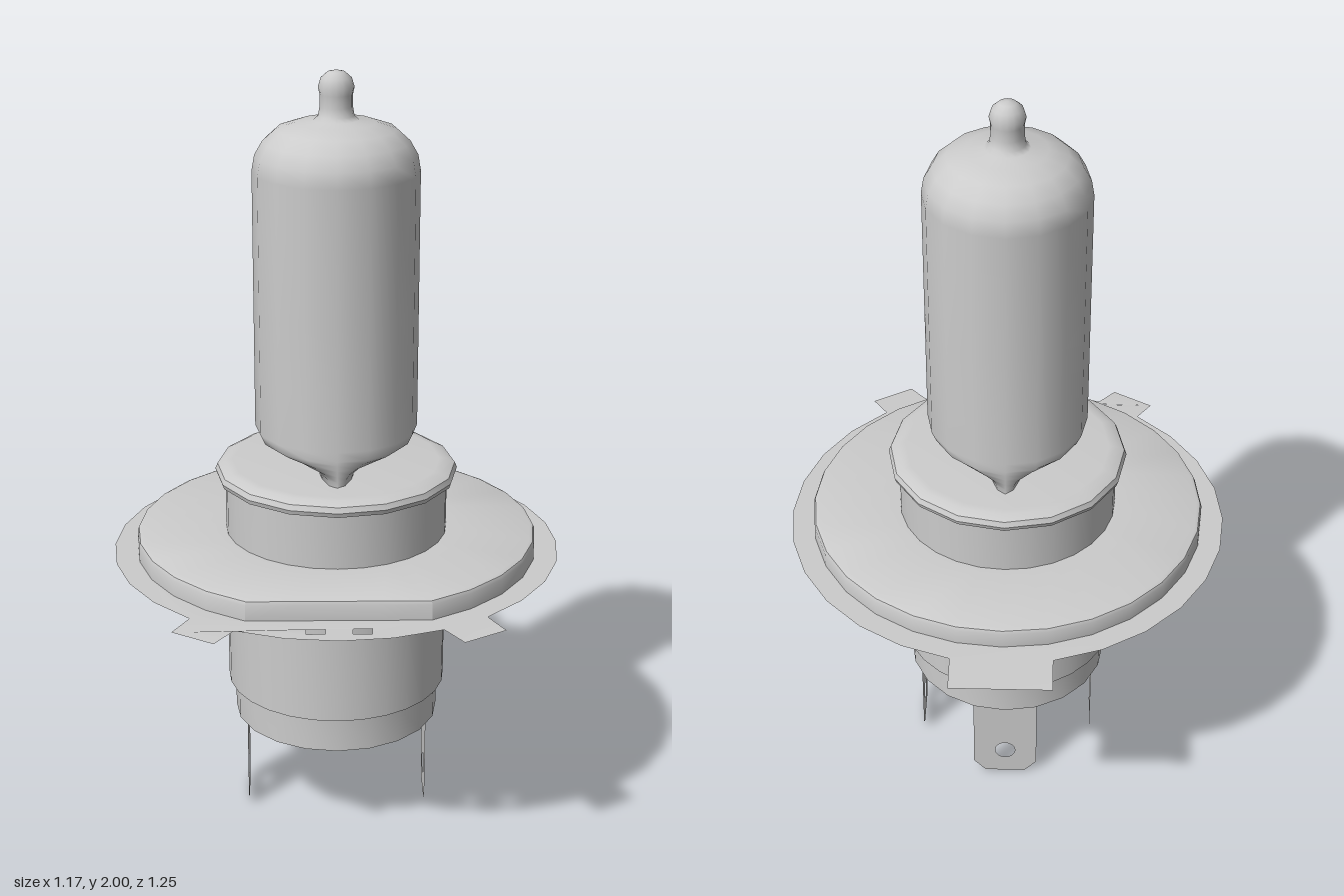
import * as THREE from 'three';
import { mergeVertices, toCreasedNormals } from 'three/addons/utils/BufferGeometryUtils.js';

const SEGS = 28; // sides of the mounting flange
const grey = new THREE.MeshStandardMaterial({ color: 0xcccccc });
const sheet = new THREE.MeshStandardMaterial({ color: 0xcccccc, side: THREE.DoubleSide });
const vec = ([x, y]) => new THREE.Vector2(x, y);

function part(group, name, geometry, material = grey) {
  const mesh = new THREE.Mesh(geometry, material);
  mesh.name = name;
  group.add(mesh);
  return mesh;
}

const lathe = (profile, sides) =>
  toCreasedNormals(new THREE.LatheGeometry(profile.map(vec), sides), 0.6);

// Ring of the flange; the front arc may be cut off by a straight chord
function ring(radius, chord) {
  const limit = chord ? radius * Math.sin((5 * 2 * Math.PI) / SEGS) : radius;
  return Array.from({ length: SEGS }, (_, k) => {
    const a = (k * 2 * Math.PI) / SEGS;
    const z = radius * Math.sin(a);
    if (z <= limit) return [radius * Math.cos(a), z];
    return [limit / Math.tan(a), limit];
  });
}

// Joins rings of equal point count into a skin
function loft(rings) {
  const pos = [], index = [];
  rings.forEach(({ pts, y }) => pts.forEach(([x, z]) => pos.push(x, y, z)));
  for (let r = 0; r < rings.length - 1; r++) {
    for (let k = 0; k < SEGS; k++) {
      const a = r * SEGS + k, b = r * SEGS + ((k + 1) % SEGS);
      index.push(a, a + SEGS, b, b, a + SEGS, b + SEGS);
    }
  }
  const g = new THREE.BufferGeometry();
  g.setAttribute('position', new THREE.Float32BufferAttribute(pos, 3));
  g.setIndex(index);
  return toCreasedNormals(g, 0.5);
}

// Flat rim with three locating tabs and two slots
function rimGeometry() {
  const outline = [];
  ring(0.585).forEach((p, k) => {
    if (k === 21) outline.push([-0.13, -0.67], [0.13, -0.67]);
    else outline.push(p);
    if (k === 4) outline.push([0.405, 0.52], [0.3, 0.585]);
    if (k === 9) outline.push([-0.3, 0.585], [-0.405, 0.52]);
  });
  const shape = new THREE.Shape(outline.map(vec));
  shape.holes.push(new THREE.Path(ring(0.525, true).map(vec)));
  for (const s of [-1, 1]) {
    shape.holes.push(new THREE.Path(
      [[0.033, 0.52], [0.08, 0.52], [0.08, 0.547], [0.033, 0.547]].map(([x, z]) => vec([s * x, z]))));
  }
  const g = new THREE.ShapeGeometry(shape).rotateX(Math.PI / 2);
  // Tab tips droop slightly
  const p = g.attributes.position;
  for (let i = 0; i < p.count; i++) {
    if (Math.hypot(p.getX(i), p.getZ(i)) > 0.6) p.setY(i, -0.006);
  }
  g.computeVertexNormals();
  return g.translate(0, 0.745, 0);
}

// Glass envelope: a lathe pinched along x towards its foot
function bulbGeometry() {
  const profile = [
    [0.21, 0.98], [0.21, 1.0], [0.21, 1.015], [0.21, 1.03], [0.21, 1.045], [0.21, 1.055], [0.21, 1.08],
    [0.21, 1.4], [0.21, 1.75], [0.203, 1.79], [0.183, 1.825], [0.15, 1.855], [0.1, 1.872], [0.056, 1.878],
    [0.045, 1.888], [0.041, 1.91], [0.041, 1.94], [0.045, 1.958], [0.038, 1.981], [0.022, 1.995], [0, 2]];
  const pinch = [0.24, 0.27, 0.37, 0.6, 0.83, 0.94, 1];
  const g = new THREE.LatheGeometry(profile.map(vec), 16);
  const p = g.attributes.position;
  for (let i = 0; i < p.count; i++) {
    p.setX(i, p.getX(i) * (pinch[i % profile.length] ?? 1));
  }
  g.deleteAttribute('uv');
  g.deleteAttribute('normal');
  const smooth = mergeVertices(g);
  smooth.computeVertexNormals();
  return smooth;
}

// Contact blade with chamfered foot and a round hole
function bladeGeometry() {
  const shape = new THREE.Shape(
    [[-0.055, 0], [0.055, 0], [0.088, 0.035], [0.088, 0.275], [-0.088, 0.275], [-0.088, 0.035]].map(vec));
  const hole = new THREE.Path();
  hole.absarc(0, 0.08, 0.028, 0, Math.PI * 2, true);
  shape.holes.push(hole);
  return new THREE.ShapeGeometry(shape, 8);
}

export function createModel() {
  const model = new THREE.Group();
  model.name = 'headlampBulb';
  const lamp = new THREE.Group();
  lamp.name = 'lamp';
  lamp.position.z = 0.04;
  model.add(lamp);

  part(lamp, 'glassEnvelope', bulbGeometry());

  // Collar under the glass
  part(lamp, 'collar', lathe([[0.28, 0.952], [0.312, 0.948], [0.316, 0.96], [0.31, 0.974],
    [0.29, 0.984], [0.27, 0.986], [0, 0.986]], 16));

  // Metal sleeve and the narrower base below it
  part(lamp, 'sleeve', lathe([[0.26, 0.368], [0.29, 0.368], [0.29, 0.955]], SEGS));
  part(lamp, 'base', lathe([[0, 0.27], [0.272, 0.27], [0.272, 0.37]], 20));

  // Mounting flange: flat rim plus a raised hollow disc
  part(lamp, 'flangeRim', rimGeometry(), sheet);
  part(lamp, 'flangeDisc', loft([
    { pts: ring(0.525, true), y: 0.745 },
    { pts: ring(0.525, true), y: 0.786 },
    { pts: ring(0.521, true), y: 0.795 },
    { pts: ring(0.512, true), y: 0.799 },
    { pts: ring(0.285), y: 0.799 }]), sheet);

  // Small ears bent up beside the slots
  for (const s of [-1, 1]) {
    const ear = part(lamp, 'slotEar', new THREE.PlaneGeometry(0.027, 0.036), sheet);
    ear.rotation.y = Math.PI / 2;
    ear.position.set(s * 0.08, 0.763, 0.534);
  }

  // Three contact blades: left, right and back
  const blade = bladeGeometry();
  for (const [x, z, turn] of [[0.24, 0, Math.PI / 2], [-0.24, 0, -Math.PI / 2], [0, -0.24, Math.PI]]) {
    const mesh = part(lamp, 'contactBlade', blade, sheet);
    mesh.position.set(x, 0, z);
    mesh.rotation.y = turn;
  }
  return model;
}
